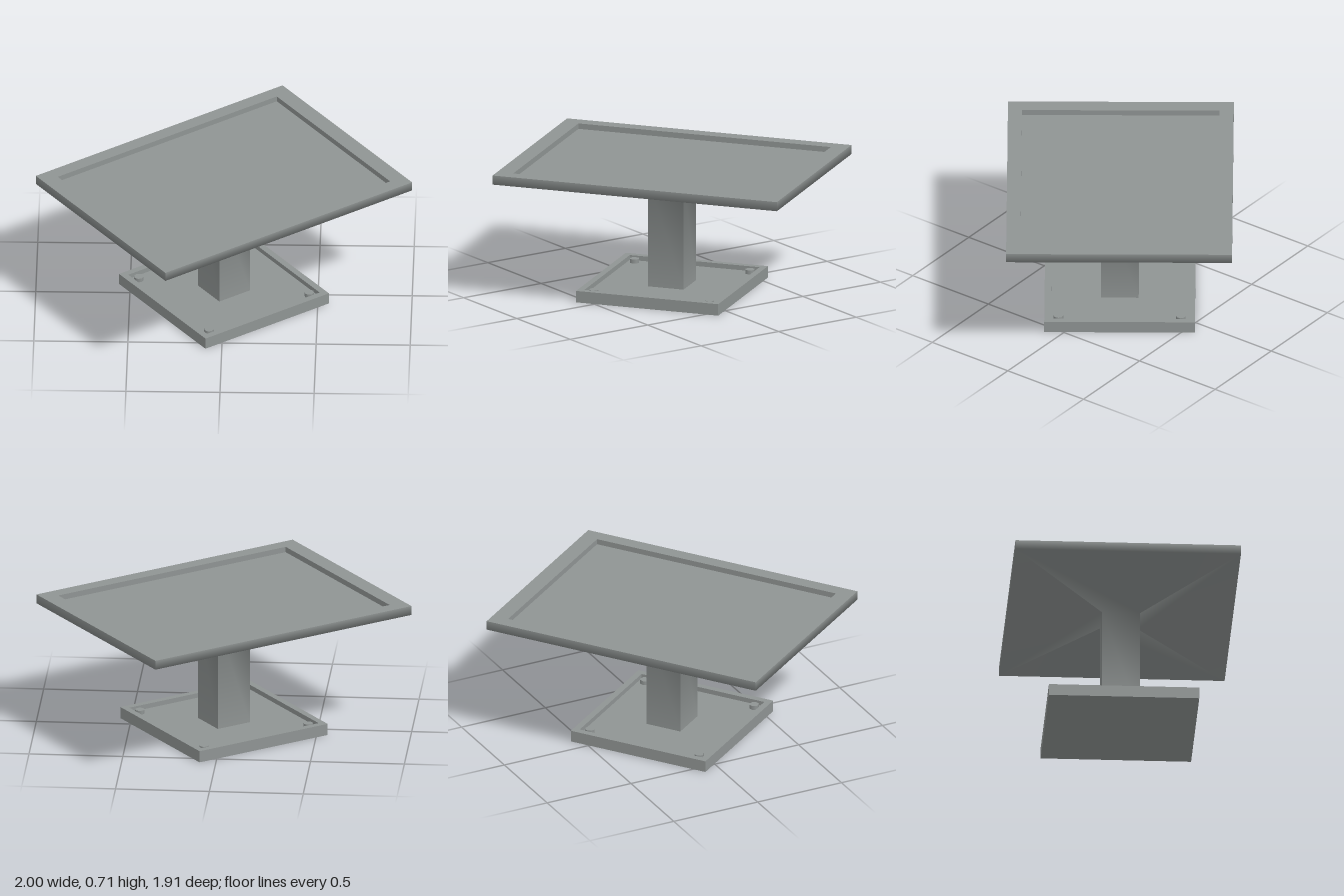
import * as THREE from 'three';

// Surface through rectangular loops [width, depth, height], listed from the top
// centre outwards and down. Corners stay sharp; smooth blends along each side.
function loft(loops, smooth) {
  const corners = [[1, 1], [1, -1], [-1, -1], [-1, 1]];
  const pos = [], index = [];
  for (let s = 0; s < 4; s++) {
    const base = pos.length / 3;
    const [a, b] = [corners[s], corners[(s + 1) % 4]];
    loops.forEach(([w, d, y], i) => {
      pos.push(a[0] * w / 2, y, a[1] * d / 2, b[0] * w / 2, y, b[1] * d / 2);
      if (i === 0) return;
      const k = base + 2 * i;
      if (w > 0) index.push(k - 2, k, k + 1);
      if (loops[i - 1][0] > 0) index.push(k - 2, k + 1, k - 1);
    });
  }
  let geo = new THREE.BufferGeometry();
  geo.setAttribute('position', new THREE.Float32BufferAttribute(pos, 3));
  geo.setIndex(index);
  if (!smooth) geo = geo.toNonIndexed();
  geo.computeVertexNormals();
  return geo;
}

export function createModel() {
  const model = new THREE.Group();
  model.name = 'pedestalTable';
  const grey = new THREE.MeshStandardMaterial({ color: 0x8f9493 });
  grey.name = 'grey metal';

  const table = new THREE.Group();
  table.name = 'table';
  table.rotation.y = 0.632;
  model.add(table);
  const add = (name, geo) => {
    const mesh = new THREE.Mesh(geo, grey);
    mesh.name = name;
    table.add(mesh);
    return mesh;
  };

  const topY = 0.715, baseY = 0.063, floorY = 0.037;

  // recessed top with its raised border
  add('tableTop', loft([
    [0, 0, topY - 0.03], [1.42, 1.05, topY - 0.03],
    [1.42, 1.05, topY], [1.6, 1.2, topY],
  ], false));

  // outer edge, tapered underside and column blend into one another
  add('undersideAndColumn', loft([
    [1.6, 1.2, topY], [1.6, 1.2, 0.665],
    [0.2, 0.2, 0.63], [0.2, 0.2, floorY],
  ], true));

  // square foot plate with a recess
  add('basePlate', loft([
    [0, 0, floorY], [0.73, 0.73, floorY], [0.73, 0.73, baseY],
    [0.8, 0.8, baseY], [0.8, 0.8, 0], [0, 0, 0],
  ], false));

  // bolts in the corners of the foot plate
  const boltGeo = new THREE.CylinderGeometry(0.026, 0.026, 0.022, 8);
  for (const x of [-1, 1]) {
    for (const z of [-1, 1]) {
      add('bolt', boltGeo).position.set(x * 0.325, floorY + 0.011, z * 0.325);
    }
  }
  return model;
}
